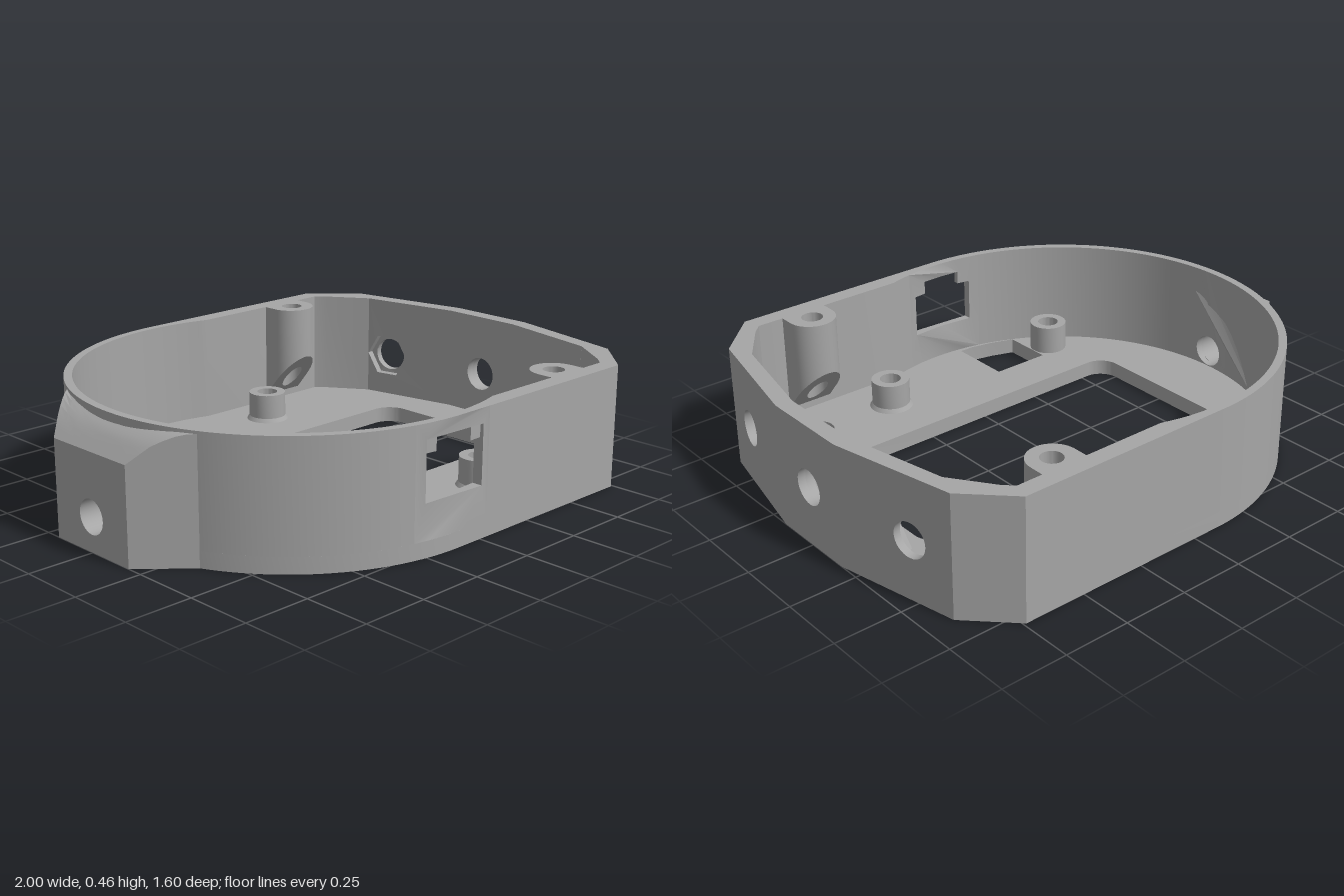
import * as THREE from 'three';
import { toCreasedNormals } from 'three/addons/utils/BufferGeometryUtils.js';

const FLOOR = 0.06, TOP = 0.46;
const CX = -0.11, R_OUT = 0.8, R_IN = 0.77; // round end of the case

const circle = (x, y, r, n = 32) => Array.from({ length: n }, (_, i) => {
  const a = (i / n) * Math.PI * 2;
  return [x + r * Math.cos(a), y + r * Math.sin(a)];
});
const rect = (x0, y0, x1, y1) => [[x0, y0], [x1, y0], [x1, y1], [x0, y1]];
const toShape = (pts) => new THREE.Shape(pts.map(([x, y]) => new THREE.Vector2(x, y)));
const flip = (pts) => pts.map(([x, z]) => [x, -z]);

function shapeWithHoles(pts, holes) {
  const shape = toShape(pts);
  shape.holes = holes.map(toShape);
  return shape;
}

// Points on the round end; angle is measured from the -x direction toward +z
const arc = (r, a0, a1, n) => Array.from({ length: n + 1 }, (_, i) => {
  const a = a0 + ((a1 - a0) * i) / n;
  return [CX - r * Math.cos(a), r * Math.sin(a)];
});

// Move every vertex by a rule
function reshape(geo, rule) {
  const p = geo.attributes.position;
  for (let i = 0; i < p.count; i++) p.setXYZ(i, ...rule(p.getX(i), p.getY(i), p.getZ(i)));
  return geo;
}

// Upright prism from a plan of [x, z] points
function prism(plan, y0, y1, holes = []) {
  const geo = new THREE.ExtrudeGeometry(shapeWithHoles(flip(plan), holes.map(flip)),
    { depth: y1 - y0, bevelEnabled: false });
  return geo.rotateX(-Math.PI / 2).translate(0, y0, 0);
}

// Wall piece drawn as (u, y), carried to [x, z] by place(u, depth); depth 0 is outside
function panel(u0, u1, holes, place, d0 = 0, d1 = 1, n = 1) {
  const us = Array.from({ length: n + 1 }, (_, i) => u0 + ((u1 - u0) * i) / n);
  const outline = [...us.map((u) => [u, FLOOR]), ...us.reverse().map((u) => [u, TOP])];
  const geo = new THREE.ExtrudeGeometry(shapeWithHoles(outline, holes), { depth: 1, bevelEnabled: false });
  return reshape(geo, (u, y, k) => {
    const [x, z] = place(u, d1 + (d0 - d1) * k);
    return [x, y, z];
  });
}

export function createModel() {
  const model = new THREE.Group();
  const grey = new THREE.MeshStandardMaterial({ color: 0xa6a6a6 });
  grey.name = 'grey plastic';
  const add = (name, geo, crease = 0.45) => {
    const mesh = new THREE.Mesh(toCreasedNormals(geo, crease), grey);
    mesh.name = name;
    model.add(mesh);
  };

  // Floor plate with the large opening, cable slot and two round holes
  const opening = new THREE.Shape();
  opening.absarc(0.68, 0.25, 0.08, 0, Math.PI / 2);
  opening.absarc(-0.53, 0.25, 0.08, Math.PI / 2, Math.PI);
  opening.absarc(-0.53, -0.25, 0.08, Math.PI, Math.PI * 1.5);
  opening.absarc(0.68, -0.25, 0.08, Math.PI * 1.5, Math.PI * 2);
  const openingPts = opening.getPoints(8).map((p) => [p.x, p.y]);
  const slot = [[-0.435, 0.5], [-0.205, 0.5], [-0.205, 0.745], [-0.26, 0.745], [-0.35, 0.725], [-0.435, 0.695]];
  const plan = [
    ...arc(R_OUT, -Math.PI / 2, Math.PI / 2, 64),
    [0.74, 0.8], [0.9, 0.64], [1, 0.17], [1, -0.17], [0.9, -0.64], [0.74, -0.8],
  ];
  add('floor', prism(plan, 0, FLOOR, [openingPts, slot, circle(-0.36, -0.62, 0.07), circle(0.61, 0.57, 0.066)]));

  // Curved and straight side walls
  const LUG_Z = 0.1, WIN_0 = -0.3, WIN_1 = 0.03;
  const outerZ = (x) => (x < CX ? Math.sqrt(R_OUT ** 2 - (x - CX) ** 2) : R_OUT);
  const innerZ = (x) => Math.sqrt(R_IN ** 2 - (x - CX) ** 2);
  const range = (a, b, n) => Array.from({ length: n + 1 }, (_, i) => a + ((b - a) * i) / n);
  for (const s of [1, -1]) {
    const side = (pts) => pts.map(([x, z]) => [x, s * z]);
    const ends = (r) => [Math.asin(LUG_Z / r), Math.acos((CX - WIN_0) / r)];
    add('curvedWall', prism(side([
      ...arc(R_OUT, ...ends(R_OUT), 28), ...arc(R_IN, ...ends(R_IN), 28).reverse(),
    ]), FLOOR, TOP));
    const xs = range(s > 0 ? WIN_1 : WIN_0, 0.12, 12);
    add('sideWall', prism(side([
      ...xs.map((x) => [x, outerZ(x)]), [0.74, 0.8], [0.9, 0.64],
      [0.86, 0.55], [0.755, 0.7], [0.72, 0.735], ...xs.reverse().map((x) => [x, innerZ(x)]),
    ]), FLOOR, TOP));
  }

  // Front wall piece with the port window, its upper corners set back
  const frontPlace = (x, d) => [x, outerZ(x) + (innerZ(x) - outerZ(x)) * d];
  const notched = [[-0.26, 0.19], [-0.13, 0.19], [0, 0.19], [0, 0.355], [-0.05, 0.355], [-0.05, 0.405],
    [-0.13, 0.405], [-0.21, 0.405], [-0.21, 0.355], [-0.26, 0.355]];
  add('windowWallOuter', panel(WIN_0, WIN_1, [rect(-0.26, 0.19, 0, 0.405)], frontPlace, 0, 0.35, 6));
  add('windowWallInner', panel(WIN_0, WIN_1, [notched], frontPlace, 0.35, 1, 6));

  // Wall piece behind the cable lug
  add('lugWall', panel(-LUG_Z, LUG_Z, [circle(0, 0.125, 0.062)], (z, d) => {
    const r = R_OUT + (R_IN - R_OUT) * d;
    return [CX - Math.sqrt(r * r - z * z), z];
  }, 0, 1, 6));

  // Three flat end walls with round holes; the outer two have hexagonal nut pockets
  const outer = [[0.9, 0.64], [1, 0.17], [1, -0.17], [0.9, -0.64]];
  const inner = [[0.86, 0.55], [0.94, 0.16], [0.94, -0.16], [0.86, -0.55]];
  for (let i = 0; i < 3; i++) {
    const [a, b, c, e] = [outer[i], outer[i + 1], inner[i], inner[i + 1]];
    const dx = b[0] - a[0], dz = b[1] - a[1], len = Math.hypot(dx, dz);
    const place = (u, d) => {
      const t = u / len, p = [a[0] + dx * t, a[1] + dz * t];
      if (t < 1e-4) return [p[0] + (c[0] - p[0]) * d, p[1] + (c[1] - p[1]) * d];
      if (t > 1 - 1e-4) return [p[0] + (e[0] - p[0]) * d, p[1] + (e[1] - p[1]) * d];
      return [p[0] + (dz / len) * 0.0595 * d, p[1] - (dx / len) * 0.0595 * d];
    };
    const u = len * [0.36, 0.5, 0.64][i];
    const hole = circle(u, 0.225, 0.066);
    add('endWallOuter', panel(0, len, [hole], place, 0, 0.5));
    add('endWallInner', panel(0, len, [i === 1 ? hole : circle(u, 0.225, 0.092, 6)], place, 0.5, 1));
  }

  // Cable lug: flares toward the case, with a sloping top and a through hole
  const lugTop = (x) => (x < -0.94 ? 1.35 + x : 0.41 + 0.04 * Math.sin(Math.min(1, (x + 0.94) / 0.1) * Math.PI / 2));
  const zs = range(-0.19, 0.19, 8);
  const lugShape = shapeWithHoles(
    [...zs.map((z) => [z, 0]), ...zs.reverse().map((z) => [z, 0.35])], [circle(0, 0.125, 0.062)]);
  const lug = new THREE.ExtrudeGeometry(lugShape, { depth: 1, steps: 6, bevelEnabled: false });
  add('cableLug', reshape(lug, (z0, y0, k) => {
    const t = 1 - k;
    const onEdge = y0 < 0.001 || y0 > 0.349;
    const zEnd = onEdge ? (z0 * 0.35) / 0.19 : z0;
    const xEnd = CX - Math.sqrt(0.796 ** 2 - zEnd ** 2);
    const x = -1 + (xEnd + 1) * t;
    return [x, y0 > 0.349 ? lugTop(x) : y0, z0 + (zEnd - z0) * t];
  }), 0.3);

  // Screw bosses hanging from the rim, cut off steeply underneath
  const half = range(0, Math.PI, 20).map((a) => [0.53 + 0.09 * Math.cos(a), 0.68 - 0.09 * Math.sin(a)]);
  for (const s of [1, -1]) {
    const side = (pts) => pts.map(([x, z]) => [x, s * z]);
    const boss = prism(side([...half, [0.44, 0.76], [0.62, 0.76]]), 0.2, TOP, [side(circle(0.53, 0.675, 0.04, 24))]);
    add('screwBoss', reshape(boss, (x, y, z) => [x, y < 0.3 ? 0.26 - 1.2 * (Math.abs(z) - 0.59) : y, z]));
  }

  // Standoff posts on the floor
  for (const [x, foot] of [[-0.51, 0.072], [0.28, 0.082]]) {
    for (const z of [-0.555, 0.555]) {
      const profile = [[foot, 0.05], [foot, FLOOR], [0.072, 0.075], [0.072, 0.17], [0.04, 0.17], [0.04, 0.055]];
      const post = new THREE.LatheGeometry(profile.map(([r, y]) => new THREE.Vector2(r, y)), 32);
      add('standoffPost', post.translate(x, 0, z));
    }
  }
  return model;
}
